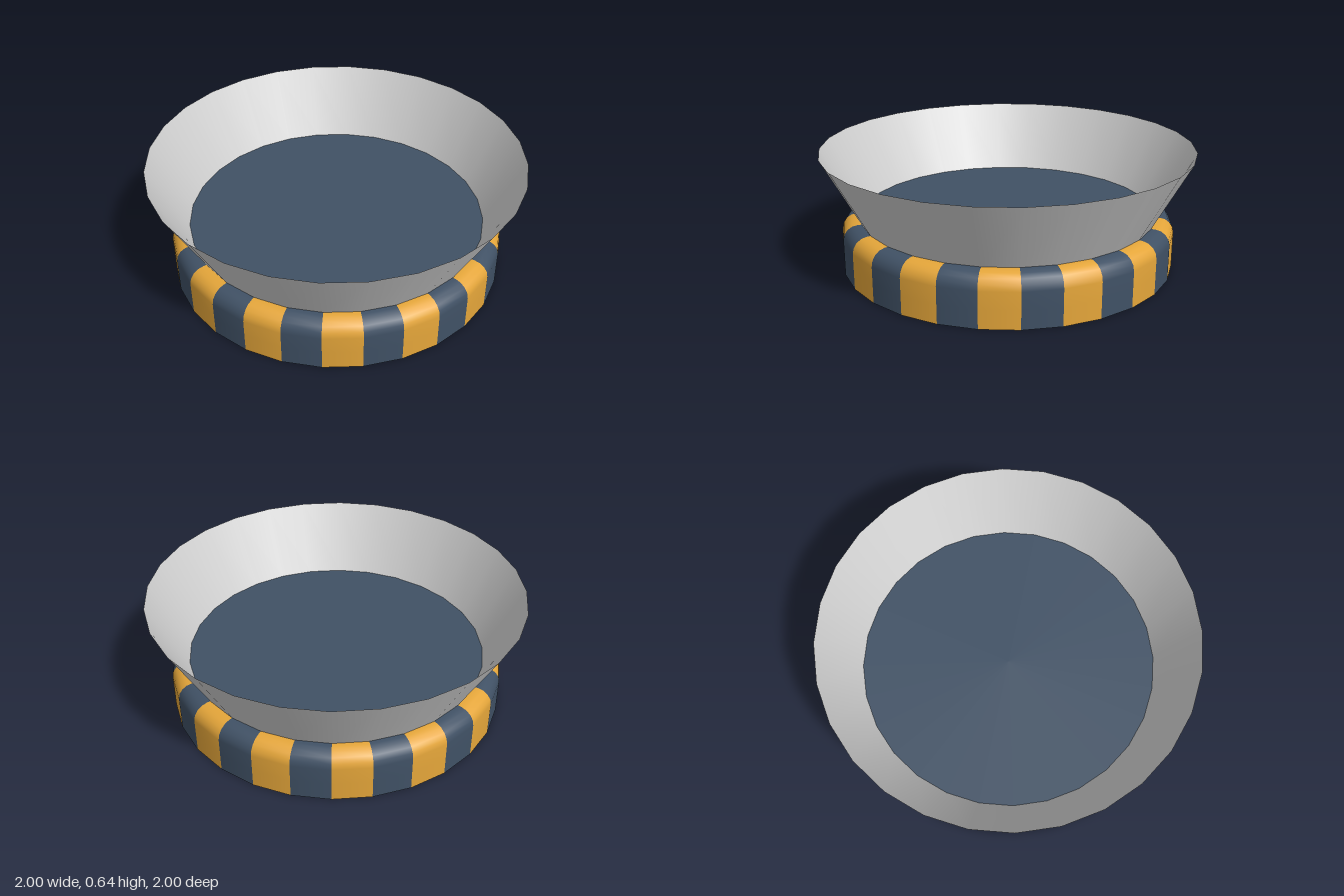
import * as THREE from 'three';

const SIDES = 28;
const BASE_TOP = 0.273;

export function createModel() {
  const model = new THREE.Group();
  model.name = 'stripedDish';

  const amber = new THREE.MeshStandardMaterial({ color: 0xe5a63a });
  amber.name = 'amber';
  const slate = new THREE.MeshStandardMaterial({ color: 0x405165 });
  slate.name = 'slate blue';
  const grey = new THREE.MeshStandardMaterial({ color: 0xd0d0d0, side: THREE.DoubleSide });
  grey.name = 'light grey';

  const add = (name, geometry, material) => {
    const mesh = new THREE.Mesh(geometry, material);
    mesh.name = name;
    model.add(mesh);
    return mesh;
  };

  // Base wall with a rounded shoulder, one stripe per side
  const profile = [new THREE.Vector2(0.9, 0), new THREE.Vector2(0.9, 0.1)];
  const steps = 4;
  for (let i = 0; i <= steps; i++) {
    const a = (i / steps) * Math.PI / 2;
    profile.push(new THREE.Vector2(0.82 + 0.08 * Math.cos(a), BASE_TOP - 0.08 + 0.08 * Math.sin(a)));
  }
  profile.push(new THREE.Vector2(0.8, BASE_TOP));
  const wall = new THREE.LatheGeometry(profile, SIDES);
  const perSide = (profile.length - 1) * 6;
  for (let s = 0; s < SIDES; s++) wall.addGroup(s * perSide, perSide, s % 2);
  add('stripedBase', wall, [amber, slate]);

  // Floor inside the rim and underside of the base
  const floor = add('floor', new THREE.CircleGeometry(0.8, SIDES), slate);
  floor.rotation.x = -Math.PI / 2;
  floor.position.y = BASE_TOP;
  const underside = add('underside', new THREE.CircleGeometry(0.9, SIDES), slate);
  underside.rotation.x = Math.PI / 2;

  // Thin flared rim, open at the top
  const rimHeight = 0.64 - BASE_TOP;
  const rim = add('flaredRim', new THREE.CylinderGeometry(1, 0.8, rimHeight, SIDES, 1, true), grey);
  rim.position.y = BASE_TOP + rimHeight / 2;

  return model;
}
